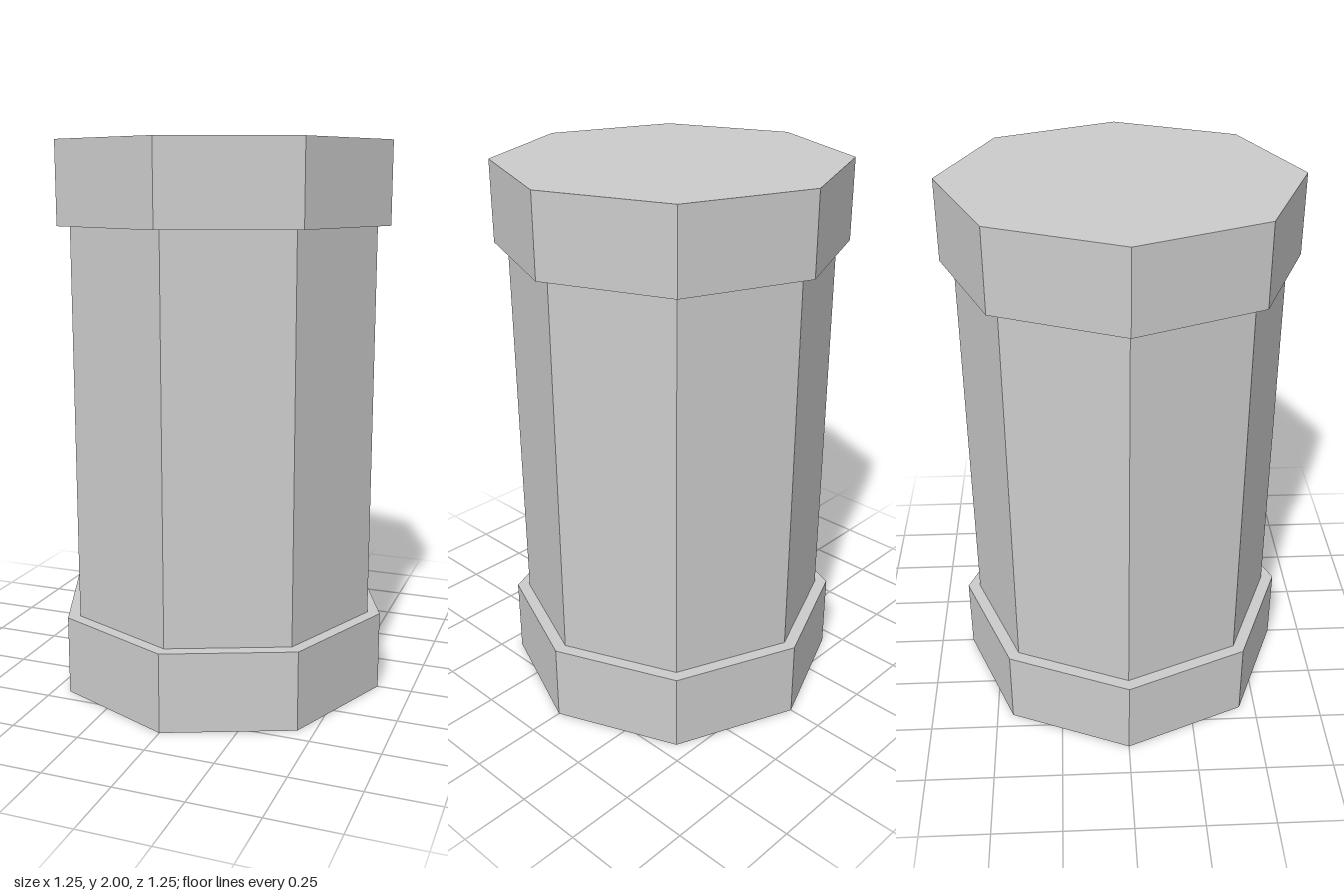
import * as THREE from 'three';

export function createModel() {
  const group = new THREE.Group();
  const material = new THREE.MeshStandardMaterial({ color: 0xcccccc, flatShading: true });
  const SIDES = 8, BAND = 0.29, HEIGHT = 2;

  // Octagonal prism with corners on the x and z axes
  function prism(name, radius, bottom, top) {
    const geometry = new THREE.CylinderGeometry(radius, radius, top - bottom, SIDES);
    const mesh = new THREE.Mesh(geometry, material);
    mesh.name = name;
    mesh.position.y = (bottom + top) / 2;
    group.add(mesh);
  }

  prism('base', 0.623, 0, BAND);
  prism('shaft', 0.576, BAND, HEIGHT - BAND);
  prism('capital', 0.623, HEIGHT - BAND, HEIGHT);

  group.name = 'octagonalColumn';
  return group;
}
